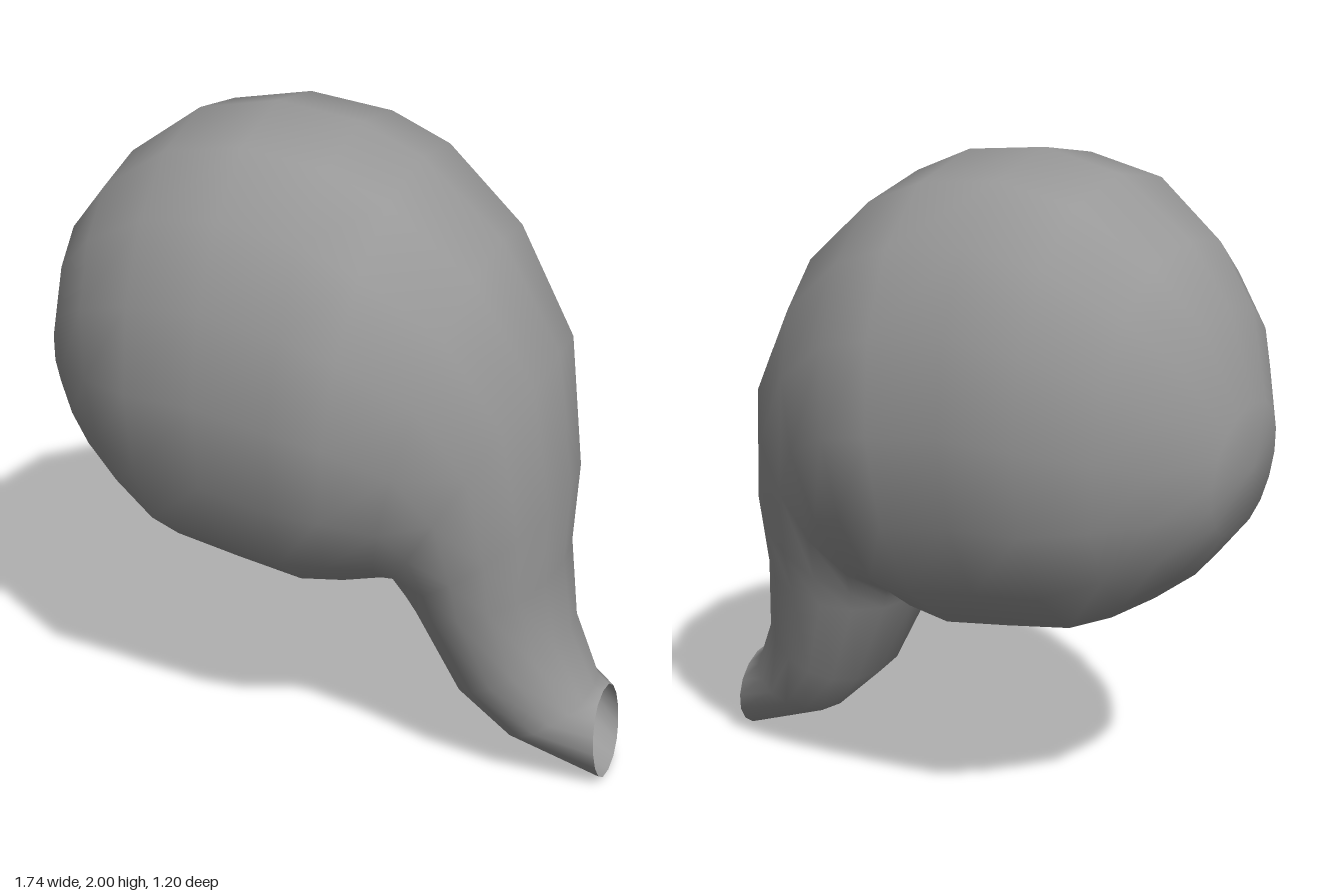
import * as THREE from 'three';

const SIDES = 16;

// Cross-sections from the back of the bulb to the tip:
// [upper x, upper y, lower x, lower y, half width]
const SECTIONS = [
  [-0.86, 1.36, -0.82, 0.98, 0.19],
  [-0.78, 1.62, -0.70, 0.83, 0.34],
  [-0.65, 1.79, -0.57, 0.73, 0.45],
  [-0.43, 1.95, -0.43, 0.64, 0.56],
  [-0.19, 2.00, -0.23, 0.605, 0.585],
  [0.06, 1.97, -0.03, 0.575, 0.60],
  [0.24, 1.89, 0.10, 0.60, 0.595],
  [0.48, 1.68, 0.20, 0.62, 0.51],
  [0.66, 1.36, 0.22, 0.62, 0.44],
  [0.71, 0.95, 0.24, 0.60, 0.38],
  [0.70, 0.70, 0.265, 0.56, 0.33],
  [0.73, 0.47, 0.40, 0.28, 0.255],
  [0.81, 0.29, 0.56, 0.13, 0.195],
  [0.84, 0.28, 0.87, 0.005, 0.14],
];

// Slightly squared ellipse standing between the upper and lower points of a section
function ring([ux, uy, lx, ly, w]) {
  const points = [];
  for (let j = 0; j < SIDES; j++) {
    const a = (j / SIDES) * Math.PI * 2;
    const t = (1 - Math.cos(a)) / 2;
    const s = Math.sin(a);
    points.push(ux + (lx - ux) * t, uy + (ly - uy) * t, Math.sign(s) * Math.abs(s) ** 0.87 * w);
  }
  return points;
}

export function createModel() {
  const group = new THREE.Group();
  group.name = 'bulbWithSpout';

  // Rounded bulb, closed at the back, flowing into a bent spout with an open end
  const positions = SECTIONS.flatMap(ring);
  const index = [];
  const pole = SECTIONS.length * SIDES;
  positions.push(-0.87, 1.18, 0);
  for (let j = 0; j < SIDES; j++) {
    const k = (j + 1) % SIDES;
    index.push(pole, k, j);
    for (let i = 0; i < SECTIONS.length - 1; i++) {
      const a = i * SIDES, b = a + SIDES;
      index.push(a + j, a + k, b + j, a + k, b + k, b + j);
    }
  }
  const geometry = new THREE.BufferGeometry();
  geometry.setAttribute('position', new THREE.Float32BufferAttribute(positions, 3));
  geometry.setIndex(index);
  geometry.computeVertexNormals();

  const material = new THREE.MeshStandardMaterial({ color: 0x989898, side: THREE.DoubleSide });
  const body = new THREE.Mesh(geometry, material);
  body.name = 'bulbAndSpout';
  group.add(body);

  return group;
}
